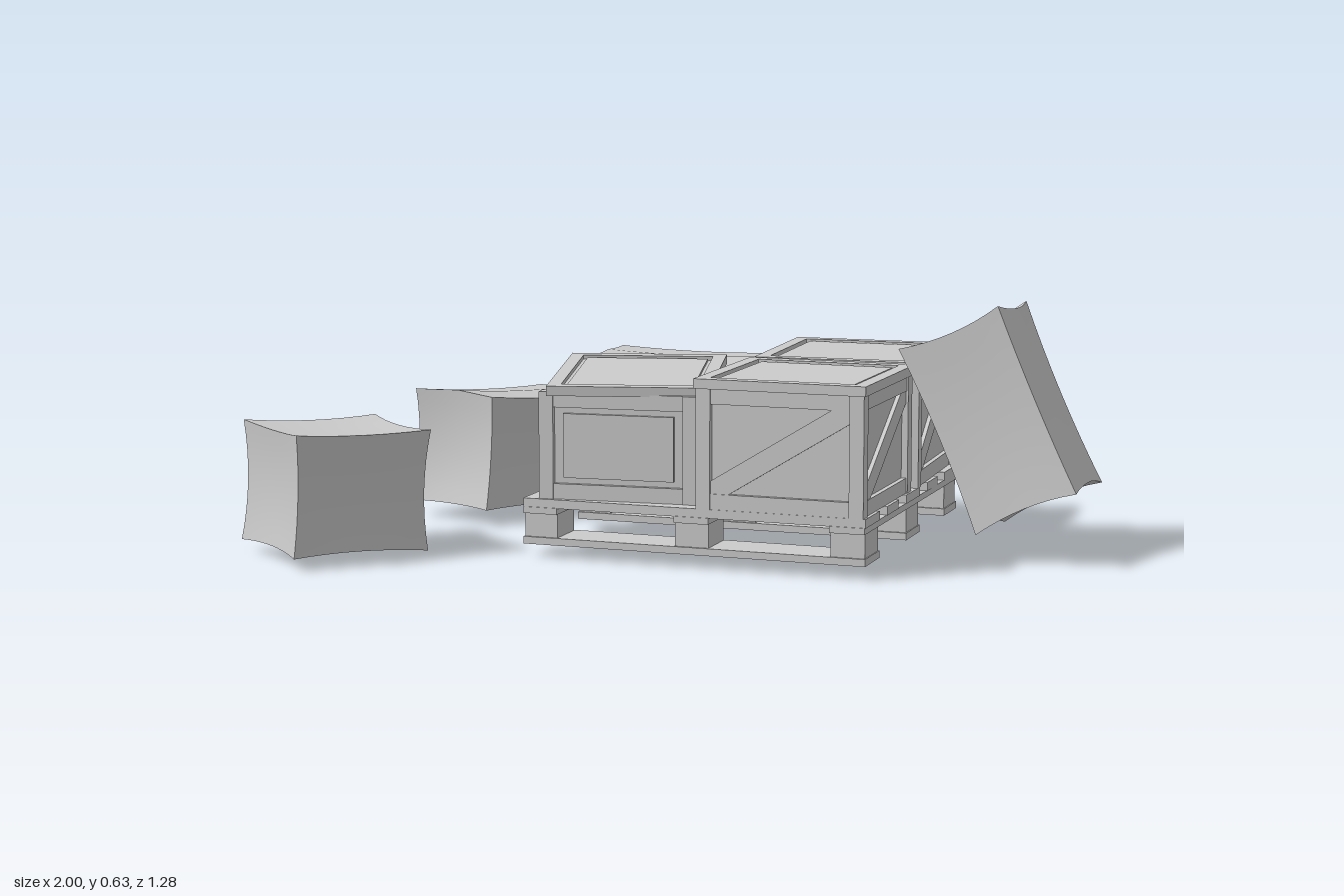
import * as THREE from 'three';

const mat = new THREE.MeshStandardMaterial({ color: 0xcccccc });

function group(name, parent) {
  const g = new THREE.Group();
  g.name = name;
  if (parent) parent.add(g);
  return g;
}

function block(parent, name, size, pos, rotZ = 0) {
  const m = new THREE.Mesh(new THREE.BoxGeometry(...size), mat);
  m.name = name;
  m.position.set(...pos);
  m.rotation.z = rotZ;
  parent.add(m);
  return m;
}

// Pallet: three bottom boards, nine blocks, three stringers, five deck boards
function makePallet() {
  const g = group('pallet');
  const xs = [-0.275, 0.1175, 0.51], zs = [0.207, -0.152, -0.512];
  for (const z of zs) {
    block(g, 'bottomBoard', [0.875, 0.018, 0.122], [0.1175, 0.044, z]);
    for (const x of xs) block(g, 'palletBlock', [0.085, 0.06, 0.11], [x, 0.083, z]);
  }
  for (const x of xs) block(g, 'stringer', [0.088, 0.016, 0.845], [x, 0.12, -0.152]);
  [[0.207, 0.122], [0.03, 0.1], [-0.152, 0.122], [-0.335, 0.1], [-0.512, 0.122]].forEach(
    ([z, d]) => block(g, 'deckBoard', [0.875, 0.022, d], [0.1175, 0.138, z]));
  return g;
}

// Lid: plate with a raised border and a centre panel set off by a groove
function makeLid(w, d) {
  const g = group('crateLid');
  const b = 0.033, y = 0.018;
  block(g, 'lidPlate', [w, 0.014, d], [0, 0.007, 0]);
  for (const s of [-1, 1]) {
    block(g, 'lidBorder', [w, 0.012, b], [0, y, s * (d - b) / 2]);
    block(g, 'lidBorder', [b, 0.012, d - 2 * b], [s * (w - b) / 2, y, 0]);
  }
  block(g, 'lidPanel', [w - 0.09, 0.007, d - 0.09], [0, 0.0165, 0]);
  return g;
}

// Crate body: recessed core, framed sides with a brace or a raised panel
function makeCrate(w, h, d, braced) {
  const g = group('crateBody');
  const t = 0.016, post = 0.036;
  block(g, 'crateCore', [w - 2 * t, h - 0.012, d - 2 * t], [0, h / 2 - 0.004, 0]);
  for (let i = 0; i < 4; i++) {
    const side = group('crateSide', g);
    side.rotation.y = i * Math.PI / 2;
    const sw = i % 2 ? d : w, z = (i % 2 ? w : d) / 2 - t / 2;
    for (const s of [-1, 1]) {
      block(side, 'cornerPost', [post, h, t], [s * (sw - post) / 2, h / 2, z]);
      block(side, 'rail', [sw - 2 * post, 0.038, t - 0.003], [0, h / 2 + s * (h - 0.038) / 2, z - 0.002]);
    }
    const iw = sw - 2 * post, ih = h - 0.076;
    if (braced) {
      // Sloping brace with ends cut to the frame
      const c = 0.045;
      const sh = new THREE.Shape([
        [-iw / 2, -ih / 2], [-iw / 2 + c, -ih / 2], [iw / 2, ih / 2 - c * 0.7],
        [iw / 2, ih / 2], [iw / 2 - c, ih / 2], [-iw / 2, -ih / 2 + c * 0.7],
      ].map(p => new THREE.Vector2(...p)));
      const m = new THREE.Mesh(new THREE.ExtrudeGeometry(sh, { depth: 0.01, bevelEnabled: false }), mat);
      m.name = 'brace';
      m.position.set(0, h / 2, z - t / 2);
      side.add(m);
    } else {
      block(side, 'sidePanel', [iw - 0.05, ih - 0.03, 0.01], [0, h / 2, z - 0.003]);
    }
  }
  return g;
}

// Cardboard box with sunken sides; the top folds along its length
function cartonGeometry(w, h, d, ridge) {
  const geo = new THREE.BoxGeometry(w, h, d, 8, 8, 8);
  const p = geo.attributes.position;
  for (let i = 0; i < p.count; i++) {
    const u = p.getX(i) * 2 / w, v = p.getY(i) * 2 / h, s = p.getZ(i) * 2 / d;
    const a = 1 - u * u, b = 1 - v * v, c = 1 - s * s;
    const fold = v > 0 ? ridge * (1 - Math.abs(u)) * v : 0;
    p.setXYZ(i,
      w / 2 * u * (1 - 0.05 * b - 0.05 * c),
      h / 2 * v * (1 - 0.05 * c - (ridge ? 0.02 : 0.05) * a) + fold,
      d / 2 * s * (1 - 0.06 * a - 0.06 * b));
  }
  geo.computeVertexNormals();
  return geo;
}

function addCarton(parent, name, geo, pos, rot) {
  const m = new THREE.Mesh(geo, mat);
  m.name = name;
  m.position.set(...pos);
  m.rotation.set(...rot, 'YXZ');
  parent.add(m);
}

export function createModel() {
  const root = group('palletWithCrates');
  root.add(makePallet());

  // Two braced crates on the left side of the pallet
  for (const [name, x, z, yaw] of [['frontCrate', 0.34, 0.06, 0], ['backCrate', 0.336, -0.39, 0.05]]) {
    const g = group(name, root);
    g.position.set(x, 0.149, z);
    g.rotation.y = yaw;
    g.add(makeCrate(0.42, 0.294, 0.42, true));
    const lid = makeLid(0.43, 0.43);
    lid.position.y = 0.293;
    g.add(lid);
  }

  // Panelled crate with a loose lid
  const open = group('panelledCrate', root);
  const body = makeCrate(0.4, 0.265, 0.49, false);
  body.position.set(-0.103, 0.149, 0);
  body.rotation.y = 0.09;
  const lid = makeLid(0.4, 0.49);
  lid.name = 'looseLid';
  lid.position.set(-0.113, 0.419, 0.009);
  lid.rotation.set(0.04, 0.25, 0, 'YXZ');
  open.add(body, lid);

  // Cartons on and around the pallet
  addCarton(root, 'palletCarton', cartonGeometry(0.3, 0.275, 0.495, 0.01),
    [-0.132, 0.288, -0.43], [0, Math.PI / 2 + 0.01, 0]);
  addCarton(root, 'backCarton', cartonGeometry(0.27, 0.295, 0.5, 0.01),
    [-0.608, 0.171, -0.357], [-0.085, -0.33, 0]);
  addCarton(root, 'frontCarton', cartonGeometry(0.31, 0.3, 0.36, 0),
    [-0.77, 0.175, 0.39], [-0.04, -0.67, 0]);
  addCarton(root, 'leaningCarton',
    cartonGeometry(0.295, 0.27, 0.49, 0.01).rotateX(Math.PI / 2).rotateY(Math.PI / 2),
    [0.77, 0.344, -0.178], [-0.06, 0, 0.435]);
  return root;
}
